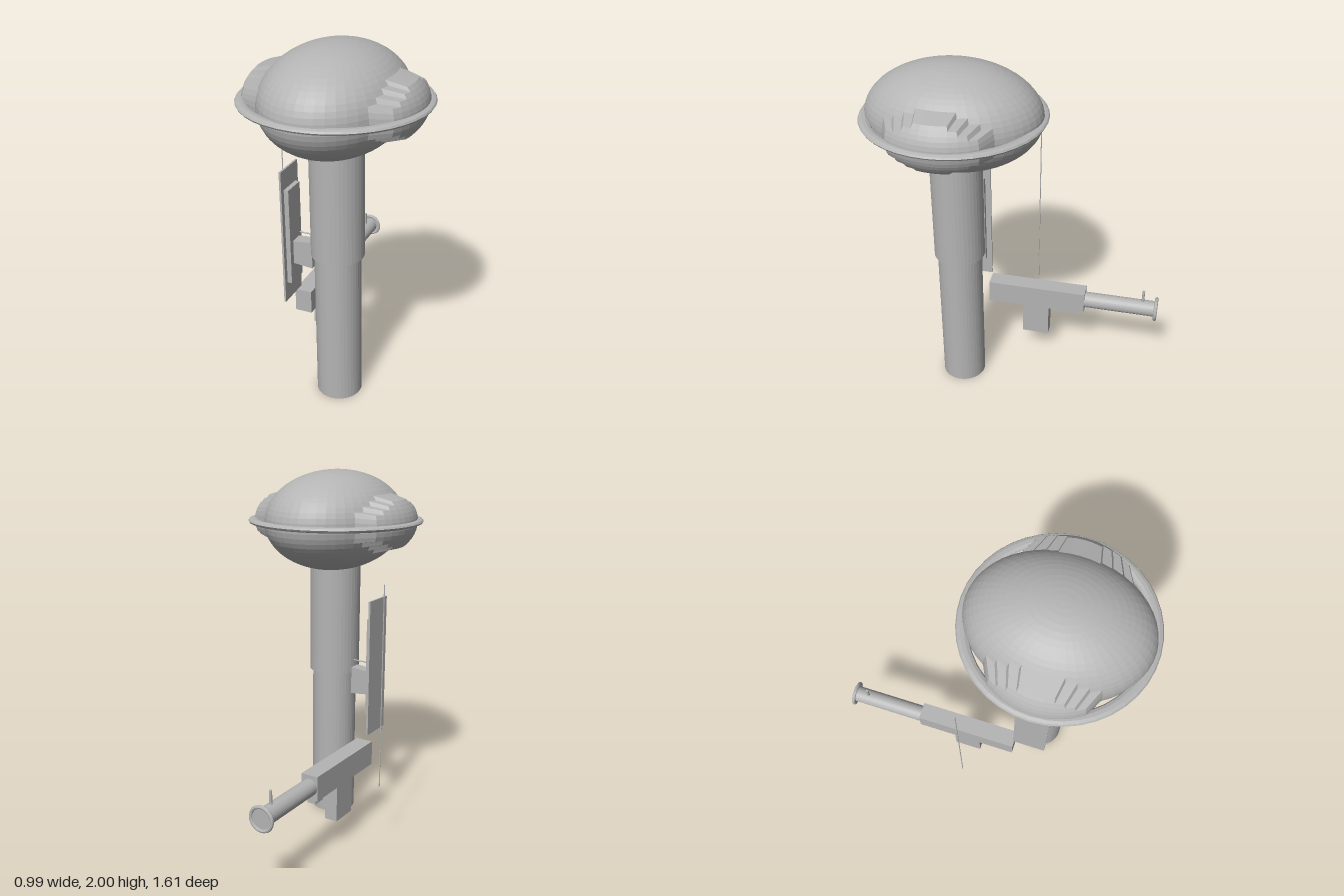
import * as THREE from 'three';

export function createModel() {
  const model = new THREE.Group();
  const grey = new THREE.MeshStandardMaterial({ color: 0xb4b4b4, flatShading: true });
  grey.name = 'plain grey';

  function add(name, geometry, x, y, z) {
    const mesh = new THREE.Mesh(geometry, grey);
    mesh.name = name;
    mesh.position.set(x, y, z);
    model.add(mesh);
    return mesh;
  }
  // Box given by its lower and upper limits on each axis
  function block(name, [x0, x1], [y0, y1], [z0, z1]) {
    const g = new THREE.BoxGeometry(x1 - x0, y1 - y0, z1 - z0);
    return add(name, g, (x0 + x1) / 2, (y0 + y1) / 2, (z0 + z1) / 2);
  }
  const rod = (r, h, sides = 32) => new THREE.CylinderGeometry(r, r, h, sides);

  // Body column in two widths
  const CX = 0.004, CZ = 0.318;
  add('lowerBody', rod(0.125, 0.87, 40), CX, 0.435, CZ);
  add('upperBody', rod(0.142, 0.65, 40), CX, 1.19, CZ);

  // Ellipsoid head whose side faces are pushed out into stepped ear pads
  function headGeometry() {
    const R = [0.36, 0.275, 0.465], U = 48, V = 32, pos = [];
    const point = (u, v) => {
      const a = (u / U) * Math.PI * 2, b = (v / V) * Math.PI;
      return [R[0] * Math.sin(b) * Math.cos(a), R[1] * Math.cos(b), R[2] * Math.sin(b) * Math.sin(a)];
    };
    const inPad = (u, v) => {
      const [, y, z] = point(u + 0.5, v + 0.5);
      const side = Math.abs(point(u + 0.5, V / 2)[0]) > 0.15;
      return side && (z / 0.285) ** 2 + (y / 0.155) ** 2 < 1;
    };
    const out = ([x, y, z]) => [x + Math.sign(x) * 0.1, y * 0.83, z * 0.83];
    const quad = (a, b, c, d) => pos.push(...a, ...b, ...c, ...a, ...c, ...d);
    for (let v = 0; v < V; v++) {
      for (let u = 0; u < U; u++) {
        const c = [point(u, v), point(u + 1, v), point(u + 1, v + 1), point(u, v + 1)];
        if (!inPad(u, v)) {
          quad(...c);
          continue;
        }
        quad(...c.map(out));
        // Walls along the pad border
        [[0, -1], [1, 0], [0, 1], [-1, 0]].forEach(([du, dv], i) => {
          if (inPad(u + du, v + dv)) return;
          const p = c[i], q = c[(i + 1) % 4];
          quad(p, q, out(q), out(p));
        });
      }
    }
    const g = new THREE.BufferGeometry();
    g.setAttribute('position', new THREE.Float32BufferAttribute(pos, 3));
    g.computeVertexNormals();
    return g;
  }
  add('head', headGeometry(), CX, 1.725, 0.315);

  // Flattened brim ring around the head
  const brim = new THREE.TorusGeometry(0.457, 0.03, 10, 40).rotateX(Math.PI / 2).scale(1, 0.5, 1);
  add('brim', brim, CX, 1.725, 0.315);

  // Side panel with its backing, mount and pin
  block('panel', [-0.287, -0.276], [0.535, 1.31], [0.205, 0.395]);
  block('panelBacking', [-0.276, -0.25], [0.645, 1.2], [0.237, 0.368]);
  const mount = block('panelMount', [-0.25, -0.14], [0.745, 0.9], [0.265, 0.335]);
  const mp = mount.geometry.attributes.position;
  for (let i = 0; i < mp.count; i++) {
    if (mp.getX(i) < 0) mp.setY(i, mp.getY(i) * 0.87);
  }
  add('panelPin', rod(0.004, 0.12, 8).rotateZ(Math.PI / 2), -0.165, 0.935, 0.3);

  // Long tool: housing, handle, trigger, tube, end ring and sight
  const GX = -0.265, GY = 0.435;
  block('housing', [-0.314, -0.216], [0.365, 0.502], [-0.375, 0.21]);
  block('handle', [-0.303, -0.229], [0.155, 0.365], [-0.158, 0]);
  block('trigger', [-0.29, -0.24], [0.335, 0.365], [-0.355, -0.28]);
  add('tube', rod(0.047, 0.43).rotateX(Math.PI / 2), GX, GY, -0.585);
  add('endRing', new THREE.TorusGeometry(0.062, 0.01, 8, 32), GX, GY, -0.799);
  add('endCap', rod(0.058, 0.008).rotateX(Math.PI / 2), GX, GY, -0.797);
  add('sight', rod(0.008, 0.08, 10), GX, 0.515, -0.72);

  // Thin free-standing needle
  add('needle', rod(0.003, 1.105, 8), -0.498, 0.9175, -0.042);

  return model;
}
